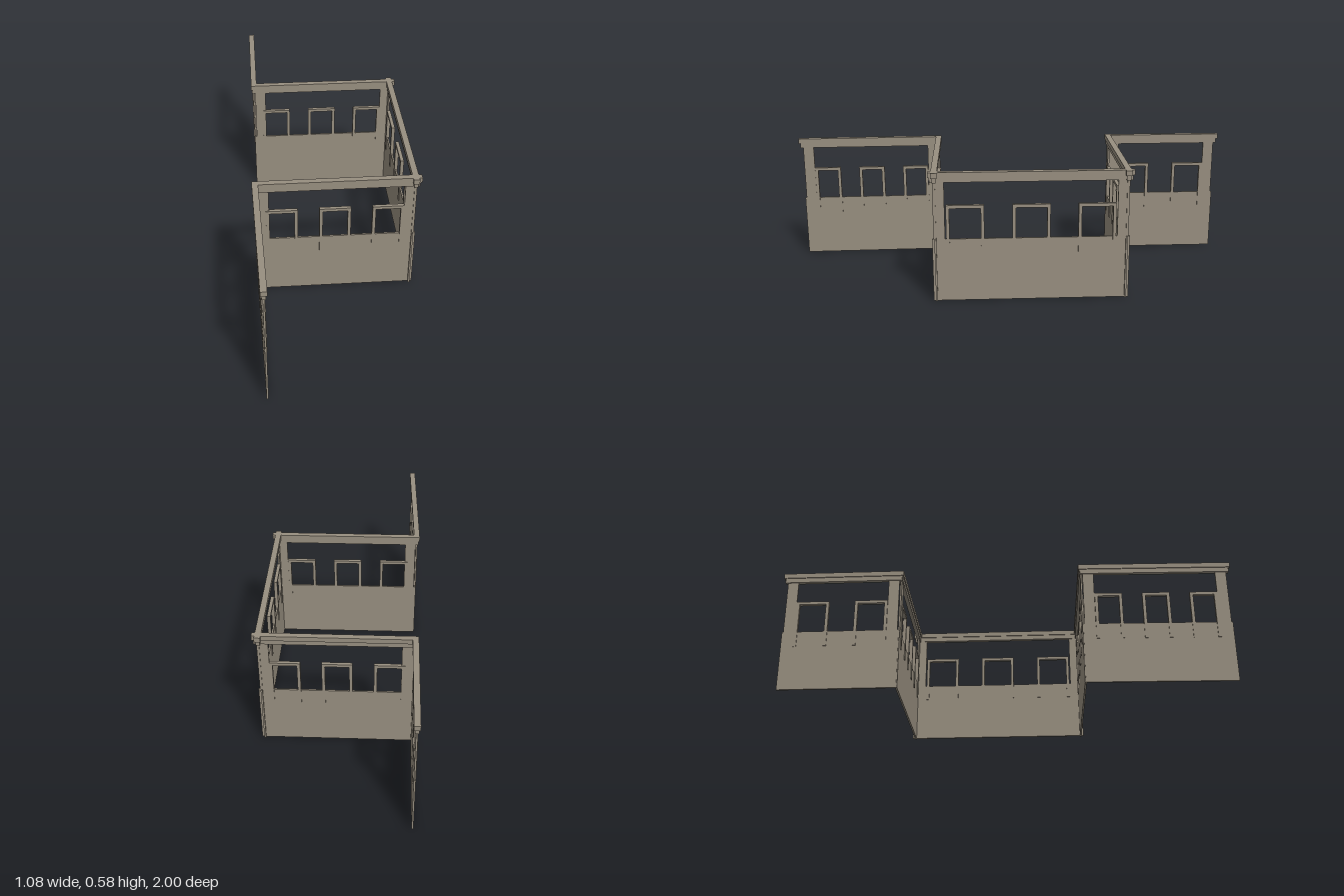
import * as THREE from 'three';

const stone = new THREE.MeshStandardMaterial({ color: 0x988f80 });
stone.name = 'warm grey stone';

const WALL_H = 0.285, WALL_T = 0.008, BEAM_Y = 0.54;

// Adds a box given its centre along the wall, bottom and top heights, length and depth
function addBox(group, name, along, y0, y1, length, depth) {
  const mesh = new THREE.Mesh(new THREE.BoxGeometry(length, y1 - y0, depth), stone);
  mesh.name = name;
  mesh.position.set(along, (y0 + y1) / 2, 0);
  group.add(mesh);
}

// Window frame: two posts reaching down over the wall and a lintel
function addWindow(group, along, width) {
  const post = 0.0145, depth = 0.016;
  for (const side of [-1, 1]) {
    addBox(group, 'windowPost', along + side * (width - post) / 2, 0.21, 0.437, post, depth);
  }
  addBox(group, 'windowLintel', along, 0.423, 0.437, width - 2 * post, depth);
}

// One straight wall from a to b; e0 and e1 lengthen it past crossing corners
function buildSection(name, a, b, e0, e1, windows, spacing, width) {
  const section = new THREE.Group();
  section.name = name;
  const dx = b[0] - a[0], dz = b[1] - a[1];
  const span = Math.hypot(dx, dz), length = span + e0 + e1;
  const shift = (e1 - e0) / 2;
  section.position.set((a[0] + b[0]) / 2 + dx / span * shift, 0, (a[1] + b[1]) / 2 + dz / span * shift);
  section.rotation.y = -Math.atan2(dz, dx);

  addBox(section, 'lowerWall', 0, 0, WALL_H, length, WALL_T);
  for (const side of [-1, 1]) {
    addBox(section, 'pillar', side * (length / 2 - 0.031), WALL_H, BEAM_Y, 0.05, WALL_T);
  }
  addBox(section, 'lowerBeam', 0, BEAM_Y, 0.562, length + 0.012, 0.018);
  addBox(section, 'upperBeam', 0, 0.562, 0.585, length + 0.026, 0.027);
  for (let i = 0; i < windows; i++) {
    addWindow(section, (i - (windows - 1) / 2) * spacing - shift, width);
  }
  return section;
}

export function createModel() {
  const model = new THREE.Group();
  model.name = 'zigzagWall';
  // Corners of the zigzag in plan (x, z)
  const A = [0.003, -0.986], B = [-0.136, -0.467], C = [0.513, -0.291];
  const D = [0.297, 0.514], E = [-0.367, 0.337], F = [-0.524, 0.986];
  const over = 0.014;
  model.add(
    buildSection('backEndWall', A, B, 0, 0, 2, 0.272, 0.152),
    buildSection('backCrossWall', B, C, 0, over, 3, 0.228, 0.135),
    buildSection('sideWall', C, D, over, over, 3, 0.287, 0.165),
    buildSection('frontCrossWall', D, E, over, 0, 3, 0.232, 0.138),
    buildSection('frontEndWall', E, F, 0, 0, 3, 0.215, 0.124),
  );
  return model;
}
